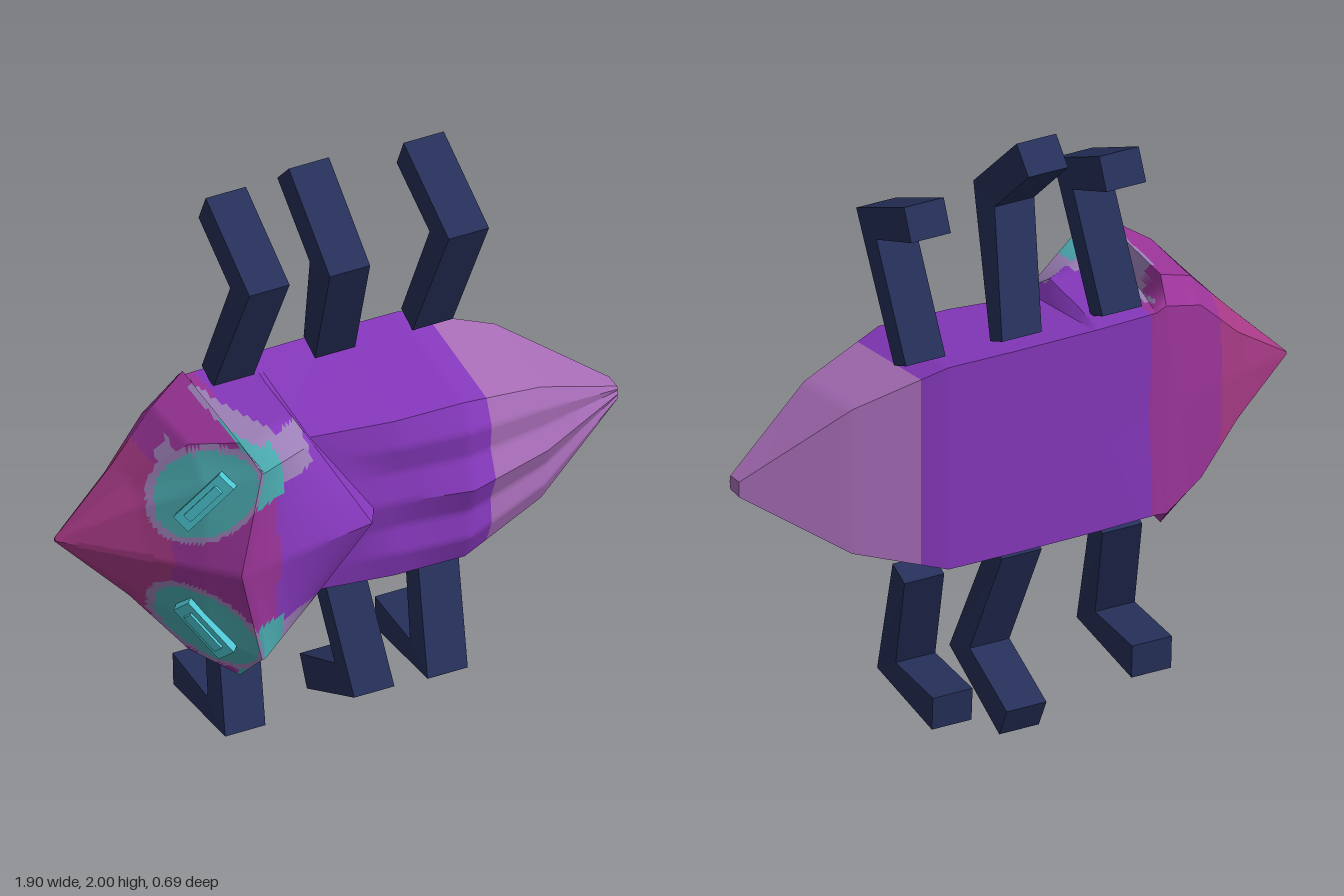
import * as THREE from 'three';
import { toCreasedNormals } from 'three/addons/utils/BufferGeometryUtils.js';

const MID = 0.96; // height of the body's mirror plane
const mat = (name, color, opts = {}) => {
  const m = new THREE.MeshStandardMaterial({ color, ...opts });
  m.name = name;
  return m;
};
const V = (x, y, z) => new THREE.Vector3(x, y, z);

// Skin a list of closed rings, capping both ends; pick() gives each triangle its colour slot
function loft(rings, { flip = false, slots = 1, pick = () => 0, crease = 0.5 } = {}) {
  const buckets = Array.from({ length: slots }, () => []);
  const tri = (a, b, c) => {
    const mid = a.clone().add(b).add(c).divideScalar(3);
    const out = buckets[pick(mid)];
    for (const p of flip ? [a, c, b] : [a, b, c]) out.push(p.x, p.y, p.z);
  };
  const n = rings[0].length;
  for (let i = 0; i < rings.length - 1; i++) {
    for (let j = 0; j < n; j++) {
      const k = (j + 1) % n;
      const [a, b, c, d] = [rings[i][j], rings[i][k], rings[i + 1][k], rings[i + 1][j]];
      tri(a, b, d);
      tri(b, c, d);
    }
  }
  const first = rings[0], last = rings[rings.length - 1];
  for (let j = 1; j < n - 1; j++) {
    tri(first[0], first[j + 1], first[j]);
    tri(last[0], last[j], last[j + 1]);
  }
  const geo = new THREE.BufferGeometry();
  geo.setAttribute('position', new THREE.Float32BufferAttribute(buckets.flat(), 3));
  let start = 0;
  buckets.forEach((b, i) => {
    geo.addGroup(start, b.length / 3, i);
    start += b.length / 3;
  });
  return toCreasedNormals(geo, crease);
}

// Half section, back centre to front centre: [back, back corner, side, side, front corner, front].
// Two extra points make the soft folds of the front; the result is mirrored into a full ring.
function section(points, fold) {
  const [a, b, c, d, e, f] = points.map((p) => V(...p));
  const g1 = e.clone().lerp(f, 0.32).add(V(0, 0, fold));
  const g2 = e.clone().lerp(f, 0.65).add(V(0, 0, -fold));
  const half = [a, b, c, d, e, g1, g2, f];
  const other = half.slice(1, -1).reverse().map((p) => V(p.x, -p.y, p.z));
  return [...half, ...other];
}

// Split every ring edge and every gap between rings into small steps
function refine(rings, across, along) {
  const fine = rings.map((r) => r.flatMap((p, j) =>
    Array.from({ length: across }, (_, s) => p.clone().lerp(r[(j + 1) % r.length], s / across))));
  const out = [];
  for (let i = 0; i < fine.length - 1; i++) {
    for (let s = 0; s < along; s++) out.push(fine[i].map((p, j) => p.clone().lerp(fine[i + 1][j], s / along)));
  }
  out.push(fine[fine.length - 1]);
  return out;
}

// Colour slots: 0 purple, 1 lavender tail, 2 magenta, 3 pink, 4 teal, 5 pale halo
function bodyColour({ x, y, z }) {
  const v = Math.abs(y);
  if (x > 0.4) return 1;
  if (x > -0.2) return 0;
  // patch around each eye
  const dx = x + 0.585, dv = v - 0.24;
  const s = (dx * 0.6 + dv * 0.8) / 0.17, t = (dx * 0.8 - dv * 0.6) / 0.09;
  if (z > 0.02 && x < -0.44) {
    const r = s * s + t * t;
    if (r < 1) return 4;
    if (r < 1.3) return 5;
  }
  // inner rim of the hood
  if (x > -0.495 && x < -0.435 && v > 0.352) return z > 0.1 ? 4 : z > -0.1 ? 5 : 2;
  // patch behind the hood
  if (x >= -0.46 && v > 0.2) {
    const edge = v > 0.345 ? -0.27 - (0.28 - z) * 0.33 : -0.22;
    if (v > 0.345 && x < edge) return x < edge - 0.1 && z > 0 ? 4 : 5;
    if (v <= 0.345 && z > 0.1) {
      if (x < -0.35 && v > 0.22) return 4;
      if (x < edge && v > 0.25) return 5;
    }
  }
  if (x < -0.68) return 3;
  return x < -0.39 ? 2 : 0;
}

export function createModel() {
  const model = new THREE.Group();
  model.name = 'insect';
  const skin = [
    mat('purple', 0x8638bc), mat('lavender', 0xa86db8), mat('magenta', 0x9b3498),
    mat('pink', 0xa83a86), mat('teal', 0x4aa9ae), mat('paleHalo', 0x9b7fb6),
  ];
  const eyeMat = mat('cyan', 0x4cc6d2);
  const legMat = mat('navy', 0x26305a, { flatShading: true });

  // Head, hood and thorax plate
  const front = [
    [[-0.95, 0, -0.095], [-0.95, 0.004, -0.094], [-0.95, 0.006, -0.09], [-0.95, 0.006, -0.088], [-0.95, 0.004, -0.084], [-0.95, 0, -0.08]],
    [[-0.74, 0, -0.16], [-0.75, 0.15, -0.15], [-0.75, 0.21, -0.1], [-0.74, 0.215, 0], [-0.74, 0.16, 0.08], [-0.74, 0, 0.13]],
    [[-0.6, 0, -0.2], [-0.6, 0.3, -0.19], [-0.6, 0.37, -0.12], [-0.6, 0.38, 0.13], [-0.59, 0.27, 0.23], [-0.61, 0, 0.27]],
    [[-0.45, 0, -0.245], [-0.45, 0.36, -0.245], [-0.47, 0.43, -0.17], [-0.49, 0.43, 0.26], [-0.45, 0.345, 0.33], [-0.53, 0, 0.35]],
    [[-0.4, 0, -0.255], [-0.41, 0.35, -0.255], [-0.44, 0.35, -0.1], [-0.44, 0.35, 0.2], [-0.44, 0.345, 0.33], [-0.52, 0, 0.35]],
    [[-0.2, 0, -0.265], [-0.2, 0.35, -0.265], [-0.22, 0.35, -0.1], [-0.23, 0.35, 0.1], [-0.2, 0.29, 0.18], [-0.04, 0, 0.27]],
  ].map((p) => section(p, 0));

  // Abdomen and tail: x, front centre x, back half height, back z, front half height, corner z, centre z, fold
  const rear = [
    [-0.19, 0, 0.35, -0.265, 0.285, 0.14, 0.2, 0],
    [0.08, 0.1, 0.35, -0.268, 0.285, 0.18, 0.21, 0.012],
    [0.32, 0.32, 0.35, -0.265, 0.285, 0.185, 0.255, 0.016],
    [0.62, 0.62, 0.25, -0.2, 0.205, 0.11, 0.16, 0.012],
    [0.95, 0.95, 0.026, -0.08, 0.024, -0.025, -0.018, 0.003],
  ].map(([x, fx, bv, bz, ev, ez, fz, fold]) => {
    const side = (t) => [x, bv + (ev - bv) * t, bz + (ez - bz) * t];
    return section([[x, 0, bz], side(0), side(0.4), side(0.7), side(1), [fx, 0, fz]], fold);
  });

  const body = new THREE.Mesh(
    loft(refine([...front, ...rear], 6, 14), { slots: skin.length, pick: bodyColour }), skin);
  body.name = 'body';
  body.position.y = MID;
  model.add(body);

  // Eyes: a tilted plate with a raised strip, one on each side of the mirror plane
  for (const s of [1, -1]) {
    const eye = new THREE.Group();
    eye.name = s > 0 ? 'upperEye' : 'lowerEye';
    const long = V(0.13, 0.19 * s, 0.09).normalize();
    const out = V(-0.7, 0.15 * s, 0.7).normalize();
    const wide = out.clone().cross(long).normalize();
    eye.quaternion.setFromRotationMatrix(new THREE.Matrix4().makeBasis(long, wide, long.clone().cross(wide)));
    eye.position.set(-0.6, MID + 0.235 * s, 0.24);
    for (const [name, l, w, h] of [['eyePlate', 0.22, 0.065, 0.03], ['eyeStrip', 0.15, 0.03, 0.05]]) {
      const part = new THREE.Mesh(new THREE.BoxGeometry(l, w, h), eyeMat);
      part.name = name;
      eye.add(part);
    }
    model.add(eye);
  }

  // Legs: mitred two-piece bars; side, hip x, knee x, foot x, foot reach, foot z
  const legs = [
    [1, -0.3, -0.28, -0.265, 0.91, -0.305],
    [1, 0.05, -0.005, -0.015, 0.995, -0.25],
    [1, 0.385, 0.405, 0.415, 0.905, -0.305],
    [-1, -0.3, -0.36, -0.35, 0.79, -0.335],
    [-1, 0.05, 0.08, 0.08, 0.91, -0.3],
    [-1, 0.39, 0.335, 0.345, 0.795, -0.335],
  ];
  legs.forEach(([s, hx, kx, fx, reach, fz], i) => {
    const hip = V(hx, 0.36, -0.2), knee = V(kx, 0.775, -0.02), foot = V(fx, reach, fz);
    const normal = (a, b) => V(0, a.z - b.z, b.y - a.y).normalize();
    const n1 = normal(hip, knee), n2 = normal(knee, foot);
    const nk = n1.clone().add(n2).normalize();
    const ring = (p, n, half) => [[-1, 1], [1, 1], [1, -1], [-1, -1]].map(([a, b]) => {
      const q = p.clone().addScaledVector(n, b * half);
      return V(q.x + a * 0.069, q.y * s, q.z);
    });
    const geo = loft([ring(hip, n1, 0.042), ring(knee, nk, 0.07), ring(foot, n2, 0.056)],
      { flip: s < 0, crease: 0.1 });
    const leg = new THREE.Mesh(geo, legMat);
    leg.name = (s > 0 ? 'upperLeg' : 'lowerLeg') + ((i % 3) + 1);
    leg.position.y = MID;
    model.add(leg);
  });

  return model;
}
